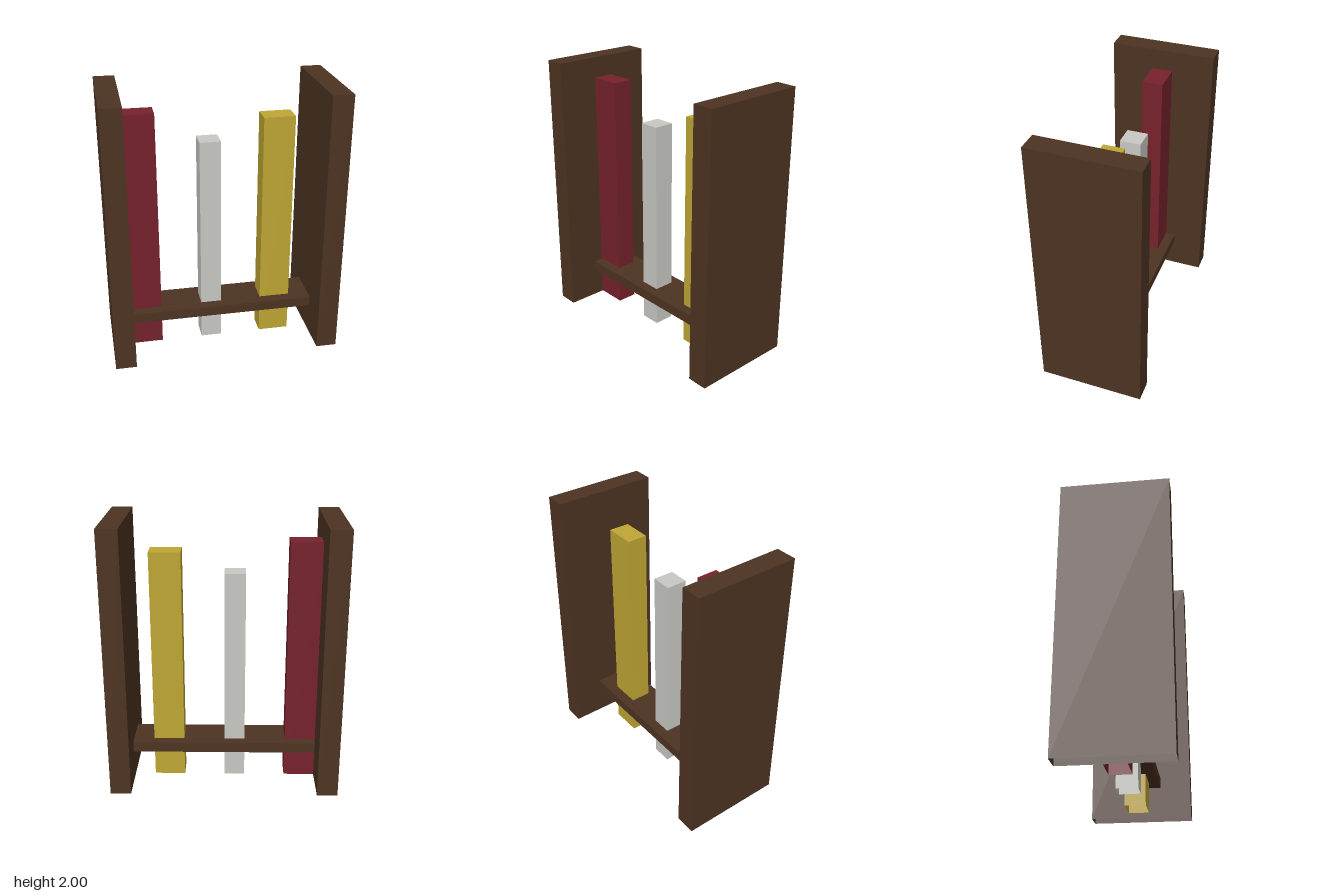
import * as THREE from 'three';

const mat = (name, color) => new THREE.MeshStandardMaterial({ name, color, side: THREE.DoubleSide });

// Box given by its extents; openBottom drops the downward face
function block(name, material, [x0, x1], [y0, y1], depth, openBottom = true) {
  const geo = new THREE.BoxGeometry(x1 - x0, y1 - y0, depth);
  if (openBottom) {
    const index = Array.from(geo.index.array);
    index.splice(18, 6);
    geo.setIndex(index);
    geo.clearGroups();
  }
  const mesh = new THREE.Mesh(geo, material);
  mesh.name = name;
  mesh.position.set((x0 + x1) / 2, (y0 + y1) / 2, 0);
  return mesh;
}

export function createModel() {
  const wood = mat('darkWood', 0x4d3322);
  const red = mat('redCover', 0x76212c);
  const white = mat('paleCover', 0xc8c9c4);
  const yellow = mat('yellowCover', 0xbfa634);

  const model = new THREE.Group();
  model.name = 'shelfRack';
  model.add(
    // Upright side panels
    block('rightPanel', wood, [-0.846, -0.693], [0, 2], 0.769),
    block('leftPanel', wood, [0.693, 0.846], [0, 2], 0.769),
    // Low cross shelf
    block('shelf', wood, [-0.687, 0.693], [0.231, 0.308], 0.308, false),
    // Standing posts passing through the shelf
    block('redPost', red, [-0.693, -0.462], [0, 1.846], 0.154),
    block('palePost', white, [-0.154, 0], [0, 1.615], 0.154),
    block('yellowPost', yellow, [0.308, 0.538], [0, 1.769], 0.154)
  );
  return model;
}
